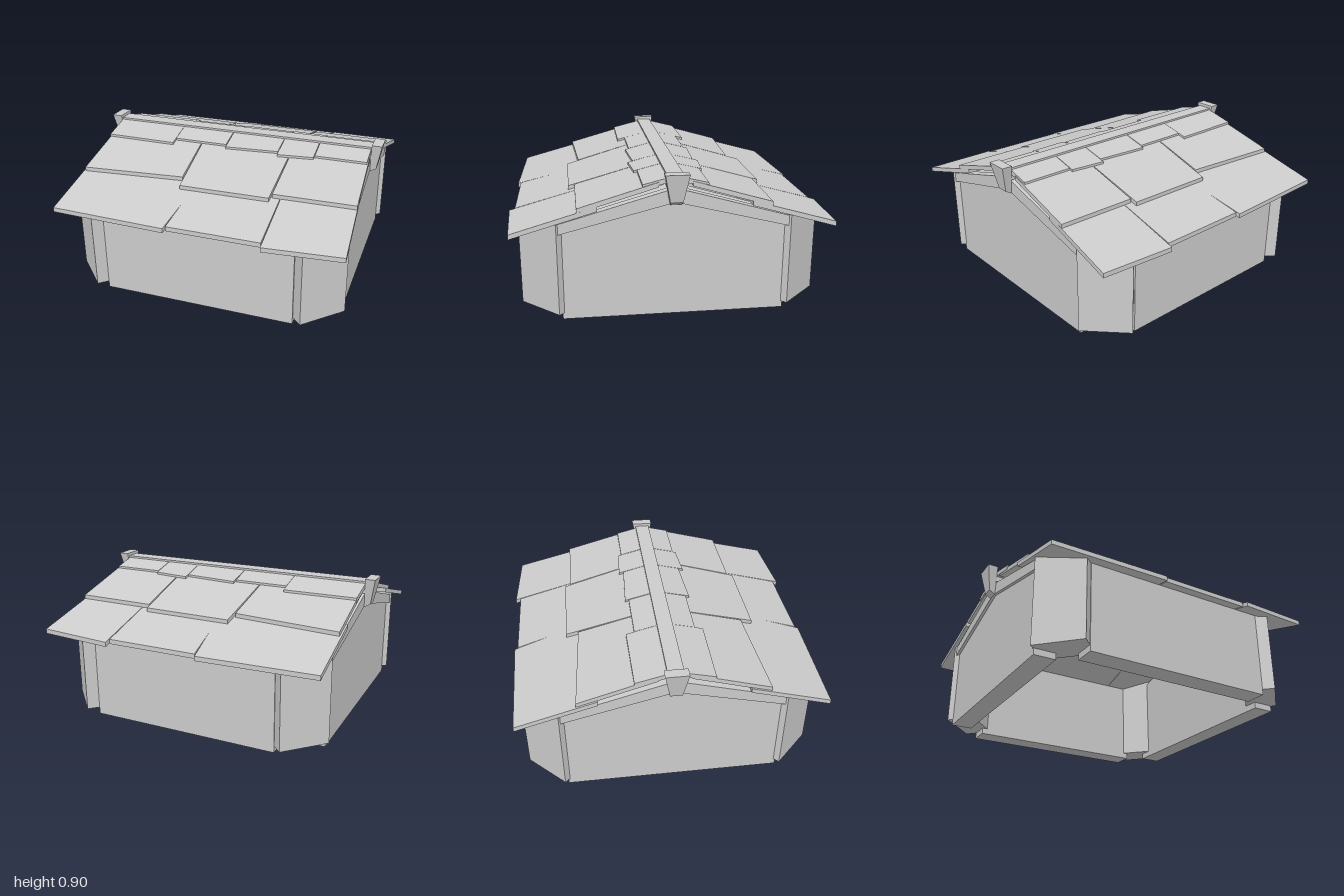
import * as THREE from 'three';

const material = new THREE.MeshStandardMaterial({ color: 0xcccccc, flatShading: true });

// Solid between two four-cornered rings; the ring order is corrected if it is inside out
function block(name, ringA, ringB) {
  const v = (p) => new THREE.Vector3(...p);
  let a = ringA.map(v), b = ringB.map(v);
  const n = a[1].clone().sub(a[0]).cross(a[3].clone().sub(a[0]));
  if (n.dot(b[0].clone().sub(a[0])) < 0) { a = a.reverse(); b = b.reverse(); }
  const faces = [[b[0], b[1], b[2], b[3]], [a[3], a[2], a[1], a[0]]];
  for (let i = 0; i < 4; i++) {
    const j = (i + 1) % 4;
    faces.push([a[i], a[j], b[j], b[i]]);
  }
  const points = faces.flatMap(([p, q, r, s]) => [p, q, r, p, r, s]);
  const geometry = new THREE.BufferGeometry().setFromPoints(points);
  geometry.computeVertexNormals();
  const mesh = new THREE.Mesh(geometry, material);
  mesh.name = name;
  return mesh;
}

// Shingle rows: slope line through (z0, y0), upper end, and tiles
// Tile: [lower left x, lower right x, left z, right z, upper left x, upper right x]
const ROWS = [
  { z0: 0.985, y0: 0.57, slope: 0.275, end: 0.46, tiles: [
    [-0.93, -0.165, 0.965, 0.985, -0.92, -0.1],
    [-0.155, 0.445, 0.965, 0.965, -0.11, 0.445],
    [0.452, 0.94, 1.0, 0.97, 0.447, 0.915]] },
  { z0: 0.6, y0: 0.702, slope: 0.285, end: 0.1, tiles: [
    [-0.91, -0.22, 0.59, 0.55, -0.9, -0.235],
    [-0.205, 0.385, 0.63, 0.625, -0.23, 0.395],
    [0.395, 0.92, 0.585, 0.58, 0.4, 0.905]] },
  { z0: 0.24, y0: 0.82, slope: 0.25, end: 0.02, tiles: [
    [-0.905, -0.42, 0.243, 0.248, -0.905, -0.42],
    [-0.418, -0.052, 0.195, 0.195, -0.418, -0.052],
    [-0.046, 0.313, 0.22, 0.2, -0.048, 0.316],
    [0.317, 0.557, 0.232, 0.215, 0.318, 0.557],
    [0.561, 0.9, 0.195, 0.195, 0.561, 0.9]] },
];
const THICK = 0.03;

function shingle(row, [x0, x1, zL, zR, x2, x3], side) {
  const corners = [[x0, zL], [x1, zR], [x3, row.end], [x2, row.end]];
  const ring = (drop) => corners.map(([x, z]) =>
    [x, row.y0 + row.slope * (row.z0 - z) - drop, z * side]);
  return block('shingle', ring(THICK), ring(0));
}

// Height of the roof underside near the eaves
const underside = (z) => 0.54 + 0.275 * (0.985 - Math.abs(z));

export function createModel() {
  const model = new THREE.Group();
  model.name = 'gabledHut';

  // Shingled roof, both slopes
  const roof = new THREE.Group();
  roof.name = 'roof';
  for (const side of [1, -1])
    for (const row of ROWS)
      for (const tile of row.tiles) roof.add(shingle(row, tile, side));

  // Ridge beam with flared end caps
  const ridge = new THREE.Mesh(new THREE.BoxGeometry(1.82, 0.08, 0.1), material);
  ridge.name = 'ridgeBeam';
  ridge.position.y = 0.84;
  roof.add(ridge);
  for (const s of [1, -1]) {
    roof.add(block('ridgeCap',
      [[0.9 * s, 0.705, 0.035], [0.94 * s, 0.728, 0.038], [0.94 * s, 0.728, -0.038], [0.9 * s, 0.705, -0.035]],
      [[0.905 * s, 0.9, 0.072], [0.972 * s, 0.9, 0.072], [0.972 * s, 0.9, -0.072], [0.905 * s, 0.9, -0.072]]));
    // Sloping rafters on the gable ends
    for (const t of [1, -1]) {
      const end = (x) => [[x * s, 0.545, 0.69 * t], [x * s, 0.718, 0], [x * s, 0.805, 0], [x * s, 0.61, 0.69 * t]];
      roof.add(block('rafter', end(0.84), end(0.9)));
    }
  }
  model.add(roof);

  // Gable walls
  const gable = new THREE.Shape([[-0.68, 0], [0.68, 0], [0.68, 0.6], [0, 0.8], [-0.68, 0.6]]
    .map(([x, y]) => new THREE.Vector2(x, y)));
  for (const x of [0.74, -0.88]) {
    const geometry = new THREE.ExtrudeGeometry(gable, { depth: 0.14, bevelEnabled: false });
    geometry.rotateY(Math.PI / 2);
    const wall = new THREE.Mesh(geometry, material);
    wall.name = 'gableWall';
    wall.position.x = x;
    model.add(wall);
  }

  // Front and back walls
  for (const s of [1, -1]) {
    const floorRing = [[-0.63, 0.88], [0.625, 0.88], [0.625, 0.74], [-0.63, 0.74]];
    model.add(block(s > 0 ? 'frontWall' : 'backWall',
      floorRing.map(([x, z]) => [x, 0, z * s]),
      floorRing.map(([x, z]) => [x, underside(z), z * s])));
  }

  // Diagonal corner posts, raised slightly off the ground
  const postRing = [[0.91, 0.7], [0.685, 0.93], [0.545, 0.79], [0.77, 0.56]];
  for (const sx of [1, -1])
    for (const sz of [1, -1])
      model.add(block('cornerPost',
        postRing.map(([x, z]) => [x * sx, 0.04, z * sz]),
        postRing.map(([x, z]) => [x * sx, underside(z), z * sz])));

  return model;
}
